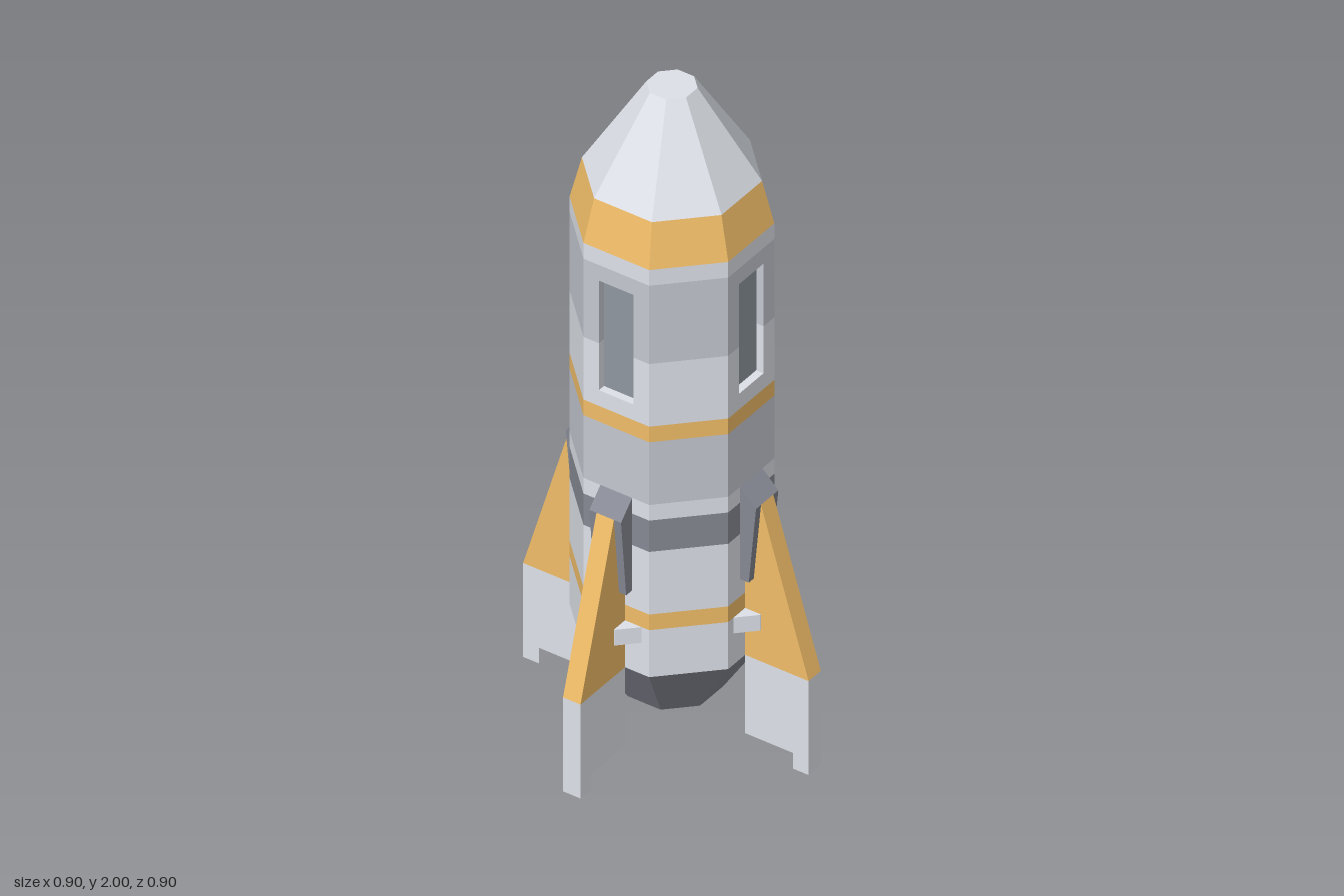
import * as THREE from 'three';

const LIGHT = 0xdde1e8, MID = 0xc4c8d0, DARK = 0x868993, GLASS = 0x8f979f, ORANGE = 0xf0bd68;
const C8 = Math.cos(Math.PI / 8);
const APOTHEM = 0.25;
const HALF_FACE = APOTHEM * Math.tan(Math.PI / 8);

function mesh(name, geometry, color) {
  const m = new THREE.Mesh(geometry, new THREE.MeshStandardMaterial({ color, flatShading: true }));
  m.name = name;
  return m;
}

// Octagonal ring with flat sides towards the axes; a0 and a1 are apothems
function ring(name, y0, y1, a0, a1, color, start = Math.PI / 8, length = Math.PI * 2, sides = 8) {
  const g = new THREE.CylinderGeometry(a1 / C8, a0 / C8, y1 - y0, sides, 1, true, start, length);
  g.translate(0, (y0 + y1) / 2, 0);
  return mesh(name, g, color);
}

// Flat outline extruded from z0 to z1
function slab(name, points, z0, z1, color) {
  const shape = new THREE.Shape(points.map(([x, y]) => new THREE.Vector2(x, y)));
  const g = new THREE.ExtrudeGeometry(shape, { depth: z1 - z0, bevelEnabled: false });
  g.translate(0, 0, z0);
  return mesh(name, g, color);
}

function cap(name, y, a, color, up) {
  const g = new THREE.CircleGeometry(a / C8, 8, Math.PI / 8);
  g.rotateX(up ? -Math.PI / 2 : Math.PI / 2).translate(0, y, 0);
  return mesh(name, g, color);
}

function buildHull() {
  const hull = new THREE.Group();
  hull.name = 'hull';
  const A = APOTHEM;
  const bands = [
    ['engineCone', 0.1, 0.3, 0.125, A, DARK],
    ['lowerHull', 0.3, 0.45, A, A, LIGHT],
    ['lowerStripe', 0.45, 0.5, A, A, ORANGE],
    ['middleHull', 0.5, 0.7, A, A, LIGHT],
    ['darkBand', 0.7, 0.8, A, A, DARK],
    ['thinBand', 0.8, 0.85, A, A, LIGHT],
    ['greyBand', 0.85, 1.05, A, A, MID],
    ['upperStripe', 1.05, 1.1, A, A, ORANGE],
    ['collar', 1.55, 1.6, A, A, LIGHT],
    ['noseBand', 1.6, 1.73, A, 0.22, ORANGE],
    ['noseCone', 1.73, 2, 0.22, 0.0625, LIGHT],
  ];
  for (const b of bands) hull.add(ring(...b));
  hull.add(cap('noseTip', 2, 0.0625, LIGHT, true), cap('engineBase', 0.1, 0.125, DARK, false));
  return hull;
}

// One window face (towards +z) and the plain diagonal face beside it
function buildCabinSide() {
  const side = new THREE.Group();
  side.name = 'cabinSide';
  const w = HALF_FACE, h = 0.055, zIn = 0.225;
  side.add(
    slab('lowerWindowFrame', [[-w, 1.1], [w, 1.1], [w, 1.3], [h, 1.3], [h, 1.15], [-h, 1.15], [-h, 1.3], [-w, 1.3]],
      zIn, APOTHEM, LIGHT),
    slab('upperWindowFrame', [[-w, 1.3], [-h, 1.3], [-h, 1.5], [h, 1.5], [h, 1.3], [w, 1.3], [w, 1.55], [-w, 1.55]],
      zIn, APOTHEM, MID),
    ring('lowerCabinPanel', 1.1, 1.3, APOTHEM, APOTHEM, LIGHT, Math.PI / 8, Math.PI / 4, 1),
    ring('upperCabinPanel', 1.3, 1.55, APOTHEM, APOTHEM, MID, Math.PI / 8, Math.PI / 4, 1),
  );
  const glass = mesh('windowGlass', new THREE.BoxGeometry(0.13, 0.37, 0.02), GLASS);
  glass.position.set(0, 1.325, zIn - 0.008);
  side.add(glass);
  return side;
}

// One fin pointing along +x with its foot, root bracket and clamp
function buildFin() {
  const fin = new THREE.Group();
  fin.name = 'finAssembly';
  const t = 0.0275;
  fin.add(
    slab('fin', [[0.24, 0.3], [0.45, 0.3], [0.3, 0.8], [0.24, 0.8]], -t, t, ORANGE),
    slab('finFoot', [[0.25, 0.05], [0.4, 0.05], [0.4, 0], [0.45, 0], [0.45, 0.3], [0.25, 0.3]], -t, t, LIGHT),
    slab('finBracket', [[0.24, 0.555], [0.277, 0.555], [0.3, 0.8], [0.25, 0.85], [0.24, 0.85]], -0.05, 0.05, DARK),
  );
  // Bevelled clamp, outlined in plan and laid flat
  const clamp = slab('finClamp', [[0.24, -0.08], [0.25, -0.08], [0.3, -0.03], [0.3, 0.03], [0.25, 0.08], [0.24, 0.08]],
    0.4, 0.45, LIGHT);
  clamp.geometry.rotateX(-Math.PI / 2);
  fin.add(clamp);
  return fin;
}

export function createModel() {
  const rocket = new THREE.Group();
  rocket.name = 'rocket';
  rocket.add(buildHull());
  for (let i = 0; i < 4; i++) {
    for (const part of [buildCabinSide(), buildFin()]) {
      part.rotation.y = i * Math.PI / 2;
      rocket.add(part);
    }
  }
  return rocket;
}
